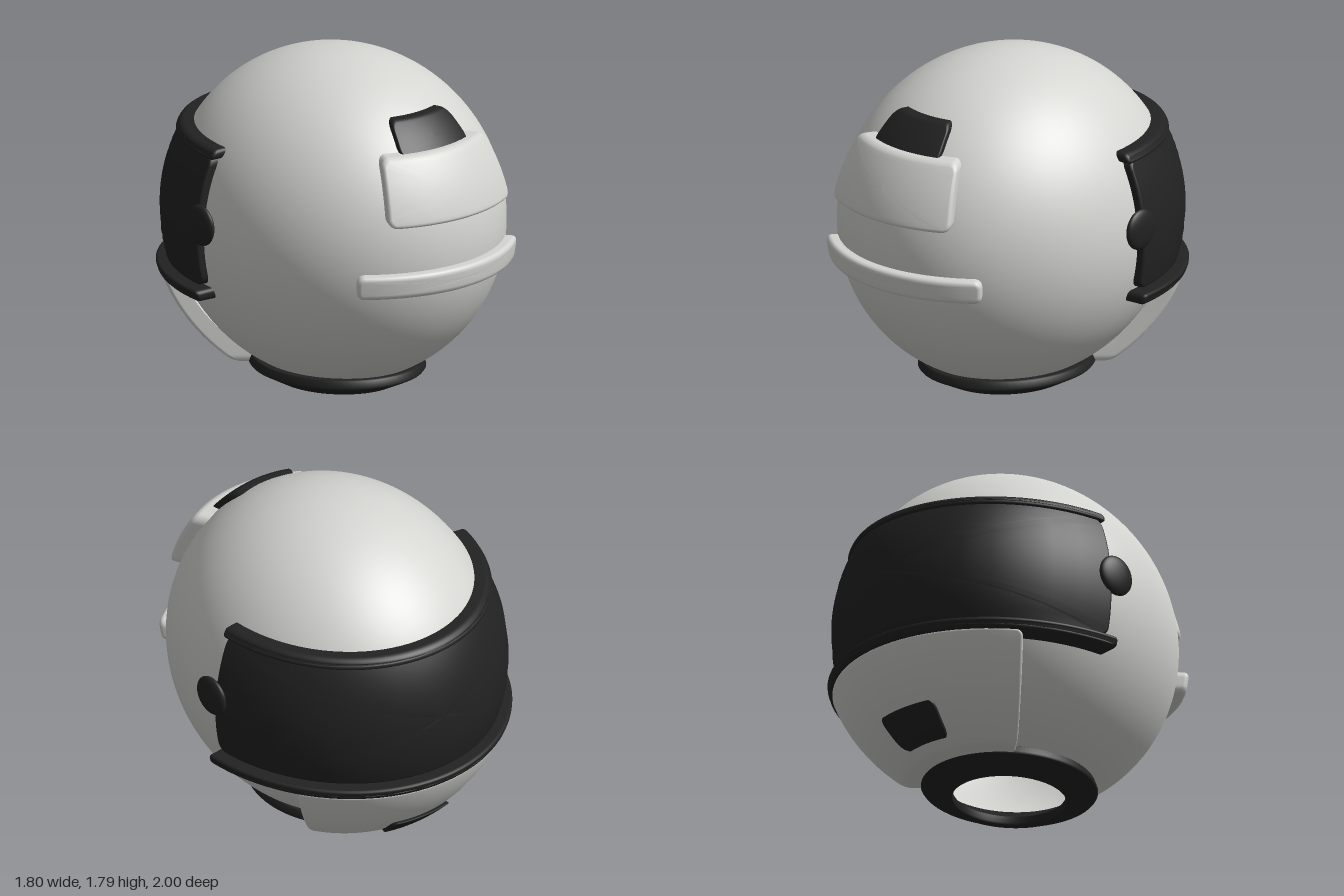
import * as THREE from 'three';

const shellGrey = new THREE.MeshStandardMaterial({ color: 0xd4d4d1, side: THREE.DoubleSide });
shellGrey.name = 'shellGrey';
const trimBlack = new THREE.MeshStandardMaterial({ color: 0x222222, side: THREE.DoubleSide });
trimBlack.name = 'trimBlack';

// Shell ellipsoid: centre height and radii
const CY = 0.9, RX = 0.83, RY = 0.89, RZ = 0.94;

// Point on the ellipsoid grown by d, at angle a from +z (dir 1) or -z (dir -1)
function onShell(a, y, d, dir) {
  const t = (y - CY) / (RY + d);
  const f = Math.sqrt(Math.max(0, 1 - t * t));
  return [dir * (RX + d) * f * Math.sin(a), y, dir * (RZ + d) * f * Math.cos(a)];
}

// Rounded rectangle outline, counter-clockwise, with subdivided sides
function outline(w, h, r, nx, ny) {
  const pts = [];
  const corners = [[1, -1], [1, 1], [-1, 1], [-1, -1]];
  corners.forEach(([sx, sy], i) => {
    const cx = sx * (w - r), cy = sy * (h - r);
    for (let k = 0; k <= 6; k++) {
      const a = (i - 1 + k / 6) * Math.PI / 2;
      pts.push([cx + r * Math.cos(a), cy + r * Math.sin(a)]);
    }
    // straight side towards the next corner
    const n = i % 2 ? nx : ny;
    const [px, py] = pts[pts.length - 1];
    const a = (i + 1 - 1) * Math.PI / 2;
    const [tx, ty] = corners[(i + 1) % 4];
    const qx = tx * (w - r) + r * Math.cos(a), qy = ty * (h - r) + r * Math.sin(a);
    for (let k = 1; k < n; k++) pts.push([px + (qx - px) * k / n, py + (qy - py) * k / n]);
  });
  return pts;
}

// Curved plate with rounded corners and soft edges, wrapped on the shell
function plate(name, material, { dir, angle, y0, y1, inner, outer, r, bevel }) {
  const a = THREE.MathUtils.degToRad(angle), R = 0.9;
  const w = a * R, h = (y1 - y0) / 2, mid = (y0 + y1) / 2;
  const nx = Math.ceil(w * 36), ny = Math.ceil(h * 30) + 1;
  const ring = (inset, s, d) =>
    outline(w - inset, h - inset, Math.max(r - inset, 0.002), nx, ny)
      .map(([u, v]) => onShell(u * s / R, mid + v * s, d, dir));
  const rings = [];
  for (let k = 0; k <= 8; k++) rings.push(ring(bevel, k / 8, outer));
  for (let k = 1; k <= 4; k++) {
    const t = k / 4 * Math.PI / 2;
    rings.push(ring(bevel * (1 - Math.sin(t)), 1, outer - bevel * (1 - Math.cos(t))));
  }
  rings.push(ring(0, 1, inner + 0.002), ring(0, 1, inner));
  const n = rings[0].length, index = [];
  for (let k = 0; k < rings.length - 1; k++) {
    for (let j = 0; j < n; j++) {
      const j2 = (j + 1) % n;
      const p = k * n + j, q = k * n + j2, s = p + n, t = q + n;
      index.push(p, s, t);
      if (k > 0) index.push(p, t, q);
    }
  }
  const g = new THREE.BufferGeometry();
  g.setAttribute('position', new THREE.Float32BufferAttribute(rings.flat(2), 3));
  g.setIndex(index);
  g.computeVertexNormals();
  const mesh = new THREE.Mesh(g, material);
  mesh.name = name;
  return mesh;
}

export function createModel() {
  const model = new THREE.Group();
  model.name = 'helmet';

  // Outer shell, open at the neck
  const shellGeo = new THREE.SphereGeometry(1, 96, 64, 0, Math.PI * 2, 0, Math.acos(-0.89));
  shellGeo.scale(RX, RY, RZ);
  const shell = new THREE.Mesh(shellGeo, shellGrey);
  shell.name = 'shell';
  shell.position.y = CY;
  model.add(shell);

  // Neck collar with a sloping underside
  const profile = [
    [0.28, 0.05], [0.28, 0.015], [0.285, 0.005], [0.31, 0], [0.315, 0.001], [0.432, 0.064], [0.44, 0.075],
    [0.428, 0.11], [0.42, 0.115], [0.36, 0.115], [0.28, 0.05],
  ].map(([x, y]) => new THREE.Vector2(x, y));
  const collar = new THREE.Mesh(new THREE.LatheGeometry(profile, 72), trimBlack);
  collar.name = 'neckCollar';
  collar.scale.z = 1.11;
  model.add(collar);

  // Visor side (-z)
  model.add(
    plate('visor', trimBlack,
      { dir: -1, angle: 82, y0: 0.63, y1: 1.34, inner: -0.005, outer: 0.045, r: 0.06, bevel: 0.015 }),
    plate('upperVisorTrim', trimBlack,
      { dir: -1, angle: 83.5, y0: 1.318, y1: 1.374, inner: -0.005, outer: 0.062, r: 0.025, bevel: 0.02 }),
    plate('lowerVisorTrim', trimBlack,
      { dir: -1, angle: 83.5, y0: 0.56, y1: 0.622, inner: 0, outer: 0.108, r: 0.025, bevel: 0.02 }),
    plate('chinGuard', shellGrey,
      { dir: -1, angle: 51, y0: 0.07, y1: 0.57, inner: 0.01, outer: 0.1, r: 0.04, bevel: 0.018 }),
    plate('chinVent', trimBlack,
      { dir: -1, angle: 15, y0: 0.115, y1: 0.262, inner: 0.09, outer: 0.118, r: 0.04, bevel: 0.008 }),
  );

  // Rear side (+z)
  model.add(
    plate('rearPlate', shellGrey,
      { dir: 1, angle: 29, y0: 1.09, y1: 1.436, inner: -0.01, outer: 0.07, r: 0.05, bevel: 0.022 }),
    plate('rearVent', trimBlack,
      { dir: 1, angle: 19.5, y0: 1.41, y1: 1.583, inner: -0.01, outer: 0.032, r: 0.05, bevel: 0.012 }),
    plate('rearBar', shellGrey,
      { dir: 1, angle: 39.5, y0: 0.705, y1: 0.835, inner: -0.01, outer: 0.06, r: 0.04, bevel: 0.025 }),
  );

  // Visor pivots on both sides
  for (const side of [1, -1]) {
    const pivot = new THREE.Mesh(new THREE.SphereGeometry(1, 32, 20), trimBlack);
    pivot.name = side > 0 ? 'leftPivot' : 'rightPivot';
    pivot.scale.set(0.034, 0.11, 0.11);
    pivot.position.set(side * 0.864, 0.982, -0.112);
    pivot.rotation.y = side * 0.08;
    model.add(pivot);
  }
  return model;
}
